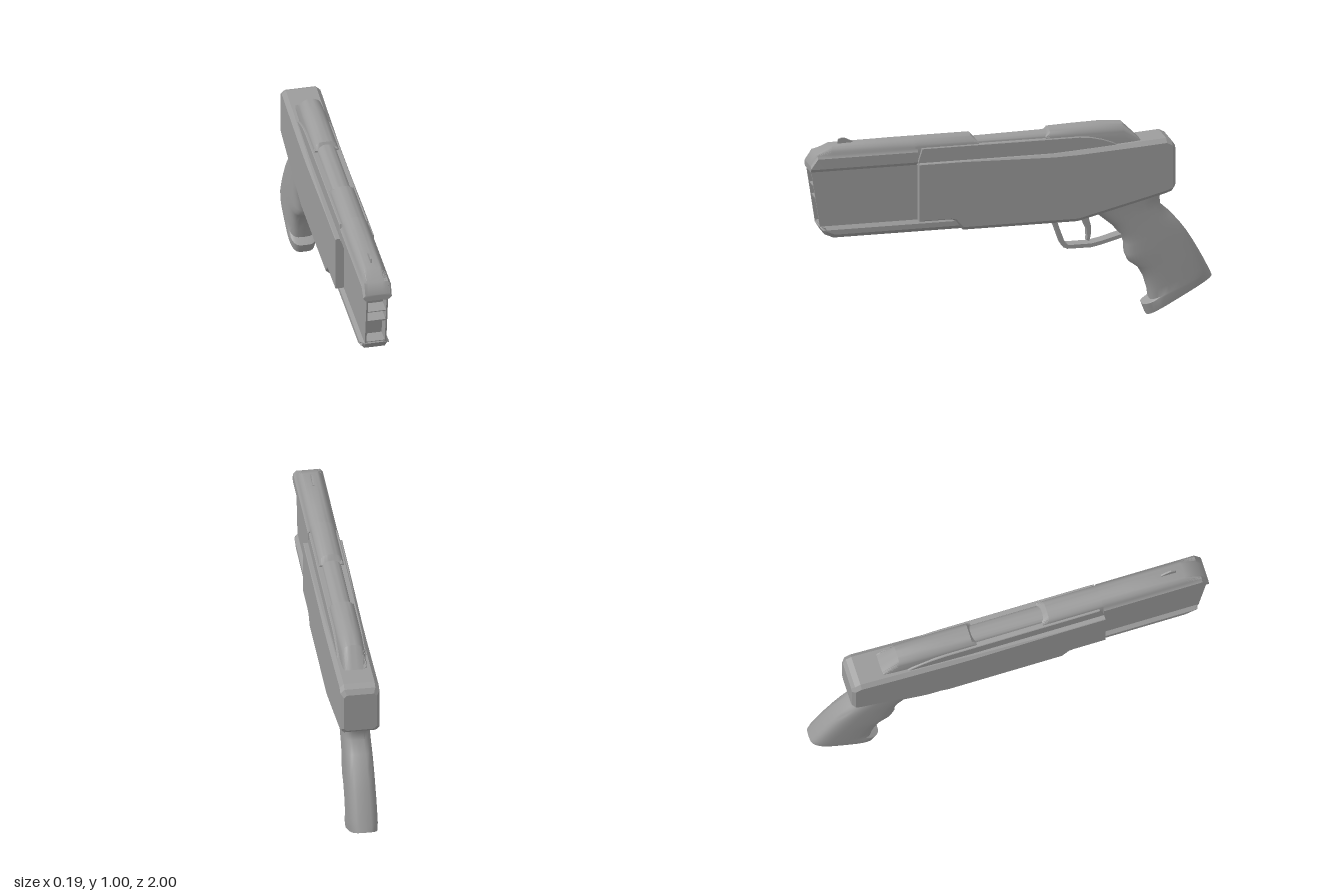
import * as THREE from 'three';
import { toCreasedNormals } from 'three/addons/utils/BufferGeometryUtils.js';

const material = new THREE.MeshStandardMaterial({ color: 0x9b9b9b });

function addMesh(group, name, geometry) {
  const mesh = new THREE.Mesh(geometry, material);
  mesh.name = name;
  group.add(mesh);
}

// Side outline in (z, y), extruded across x to the given half width
function profile(points, half, bevel = 0, x = 0) {
  const shape = new THREE.Shape(points.map(p => new THREE.Vector2(p[0], p[1])));
  const geometry = new THREE.ExtrudeGeometry(shape, {
    depth: 2 * (half - bevel), bevelEnabled: bevel > 0, bevelSize: bevel,
    bevelThickness: bevel, bevelOffset: -bevel, bevelSegments: 1
  });
  geometry.translate(0, 0, -(half - bevel));
  geometry.rotateY(-Math.PI / 2);
  geometry.translate(x, 0, 0);
  return toCreasedNormals(geometry, 0.5);
}

// Skin over closed rings of Vector3, capped at both ends
function loft(rings, crease = 0.6) {
  const n = rings[0].length, pos = [];
  const tri = (...v) => v.forEach(p => pos.push(p.x, p.y, p.z));
  for (let i = 0; i < rings.length - 1; i++) {
    for (let j = 0; j < n; j++) {
      const k = (j + 1) % n;
      const a = rings[i][j], b = rings[i][k], c = rings[i + 1][j], d = rings[i + 1][k];
      tri(a, c, b);
      tri(b, c, d);
    }
  }
  const middle = r => r.reduce((s, p) => s.add(p), new THREE.Vector3()).divideScalar(n);
  const first = rings[0], last = rings[rings.length - 1];
  const m0 = middle(first), m1 = middle(last);
  for (let j = 0; j < n; j++) {
    const k = (j + 1) % n;
    tri(m0, first[j], first[k]);
    tri(m1, last[k], last[j]);
  }
  const geometry = new THREE.BufferGeometry();
  geometry.setAttribute('position', new THREE.Float32BufferAttribute(pos, 3));
  return toCreasedNormals(geometry, crease);
}

// Mirrors the right half of a section, listed from bottom to top
function mirrorRing(z, right) {
  const left = right.map(([x, y]) => [-x, y]).reverse();
  return [...right, ...left].map(([x, y]) => new THREE.Vector3(x, y, z));
}

// Frame section: rectangle with chamfered lower and upper corners
function frameRing([z, bottom, top, low, high, w]) {
  return mirrorRing(z, [[w - low, bottom], [w, bottom + low], [w, top - high], [w - high, top]]);
}

// Slide section: chamfered sides below an arched top, cut off at height top
function slideRing(z, top, w, arch, peak = 0.977) {
  const shoulder = Math.min(0.93, top);
  const right = [[w - 0.012, 0.85], [w, 0.865], [w, shoulder - 0.014]];
  for (let i = 0; i < 9; i++) {
    const a = i / 9 * Math.PI / 2;
    const y = shoulder + (Math.max(peak, top) - shoulder) * Math.sin(a);
    right.push([arch * Math.cos(a), Math.min(y, top)]);
  }
  return mirrorRing(z, right);
}

export function createModel() {
  const model = new THREE.Group();
  model.name = 'pistol';

  // Wide frame with a crisp front step and a chamfered rear block
  addMesh(model, 'frame', loft([
    [0.47, 0.572, 0.86, 0.004, 0.003, 0.095], [0.31, 0.572, 0.86, 0.004, 0.003, 0.095],
    [0.285, 0.56, 0.86, 0.01, 0.003, 0.095], [0.25, 0.511, 0.86, 0.018, 0.003, 0.095],
    [-0.2, 0.511, 0.86, 0.018, 0.014, 0.095], [-0.32, 0.511, 0.867, 0.018, 0.018, 0.095],
    [-0.6, 0.58, 0.886, 0.018, 0.02, 0.095], [-0.76, 0.62, 0.897, 0.018, 0.02, 0.095],
    [-0.788, 0.631, 0.882, 0.018, 0.02, 0.095], [-0.805, 0.65, 0.858, 0.014, 0.014, 0.08]
  ].map(frameRing), 0.25));

  // Forward shroud: thin walls around a recessed, barred front opening
  const shroud = new THREE.Group();
  shroud.name = 'frontShroud';
  model.add(shroud);
  for (const s of [-1, 1]) {
    addMesh(shroud, 'shroudWall',
      profile([[0.4, 0.86], [0.4, 0.565], [0.952, 0.565], [0.997, 0.86]], 0.004, 0, s * 0.049));
  }
  addMesh(shroud, 'shroudCore', profile([[0.4, 0.86], [0.4, 0.565], [0.88, 0.565], [0.92, 0.86]], 0.046));
  const frontAt = y => 0.952 + (y - 0.565) * 0.1525;
  for (const [y, h] of [[0.567, 0.012], [0.706, 0.008], [0.768, 0.005], [0.842, 0.018]]) {
    addMesh(shroud, 'shroudBar', profile([
      [0.86, y], [frontAt(y) - 0.003, y], [frontAt(y + h) - 0.003, y + h], [0.86, y + h]
    ], 0.047));
  }

  // Lower rail under the shroud
  addMesh(model, 'lowerRail', profile([
    [0.22, 0.575], [0.22, 0.511], [0.885, 0.511], [0.93, 0.53], [0.955, 0.57], [0.95, 0.575]
  ], 0.07, 0.02));

  // Slide: front half, exposed barrel and rear half
  addMesh(model, 'frontSlide', loft([
    slideRing(1.0, 0.882, 0.07, 0.06), slideRing(0.967, 0.932, 0.072, 0.06),
    slideRing(0.89, 0.967, 0.072, 0.06), slideRing(0.6, 0.977, 0.072, 0.06),
    slideRing(0.47, 0.977, 0.072, 0.06)
  ]));
  addMesh(model, 'middleSlide', loft([
    slideRing(0.48, 0.977, 0.062, 0.06), slideRing(0.2, 0.977, 0.062, 0.06),
    slideRing(0.165, 0.94, 0.062, 0.06)
  ]));
  addMesh(model, 'barrel', loft([
    slideRing(0.22, 0.953, 0.048, 0.046, 0.953), slideRing(-0.22, 0.962, 0.048, 0.046, 0.962)
  ]));
  addMesh(model, 'rearSlide', loft([
    slideRing(-0.168, 0.94, 0.062, 0.06), slideRing(-0.19, 0.972, 0.062, 0.06),
    slideRing(-0.32, 0.982, 0.062, 0.06), slideRing(-0.45, 0.985, 0.062, 0.06),
    slideRing(-0.555, 0.975, 0.06, 0.056), slideRing(-0.645, 0.885, 0.058, 0.055)
  ]));

  // Ledge beside the slide, sweeping down at the rear
  addMesh(model, 'slideRail', profile([
    [0.475, 0.85], [0.45, 0.932], [-0.33, 0.932], [-0.39, 0.926], [-0.45, 0.911],
    [-0.5, 0.892], [-0.55, 0.86], [-0.55, 0.84]
  ], 0.071, 0.003));

  // Front sight blade
  addMesh(model, 'frontSight', profile([
    [0.858, 0.955], [0.85, 0.99], [0.83, 0.996], [0.812, 0.992], [0.78, 0.975], [0.78, 0.955]
  ], 0.004));

  // Trigger guard strap
  addMesh(model, 'triggerGuard', profile([
    [-0.2, 0.52], [-0.225, 0.46], [-0.25, 0.388], [-0.26, 0.37], [-0.28, 0.361], [-0.4, 0.36], [-0.45, 0.37],
    [-0.56, 0.4], [-0.56, 0.418], [-0.45, 0.389], [-0.4, 0.379], [-0.285, 0.379], [-0.269, 0.392],
    [-0.244, 0.46], [-0.224, 0.52]
  ], 0.033));

  // Curved trigger
  addMesh(model, 'trigger', profile([
    [-0.33, 0.53], [-0.36, 0.49], [-0.378, 0.45], [-0.381, 0.41], [-0.378, 0.392], [-0.395, 0.388],
    [-0.402, 0.42], [-0.403, 0.46], [-0.395, 0.49], [-0.385, 0.53]
  ], 0.016, 0.003));

  // Grip sections: front z, y, back z, y, half width
  const sections = [
    [-0.40, 0.55, -0.765, 0.64, 0.069], [-0.44, 0.515, -0.74, 0.59, 0.067],
    [-0.50, 0.465, -0.745, 0.55, 0.067], [-0.55, 0.41, -0.80, 0.5, 0.068],
    [-0.57, 0.36, -0.845, 0.447, 0.069], [-0.572, 0.31, -0.88, 0.4, 0.07],
    [-0.588, 0.272, -0.908, 0.355, 0.07], [-0.635, 0.238, -0.932, 0.312, 0.07],
    [-0.667, 0.18, -0.955, 0.27, 0.07], [-0.685, 0.12, -0.975, 0.23, 0.07],
    [-0.692, 0.075, -0.986, 0.207, 0.07], [-0.655, 0.052, -0.992, 0.195, 0.07],
    [-0.675, 0.0, -1.0, 0.178, 0.067]
  ];
  const power = (v, e) => Math.sign(v) * Math.abs(v) ** e;
  addMesh(model, 'grip', loft(sections.map(([fz, fy, bz, by, w]) => {
    const ring = [];
    for (let j = 0; j < 32; j++) {
      const a = j / 32 * Math.PI * 2;
      const t = (1 + power(Math.sin(a), 0.55)) / 2;
      ring.push(new THREE.Vector3(w * power(Math.cos(a), 0.55), fy + (by - fy) * t, fz + (bz - fz) * t));
    }
    return ring;
  }), 0.75));

  return model;
}
